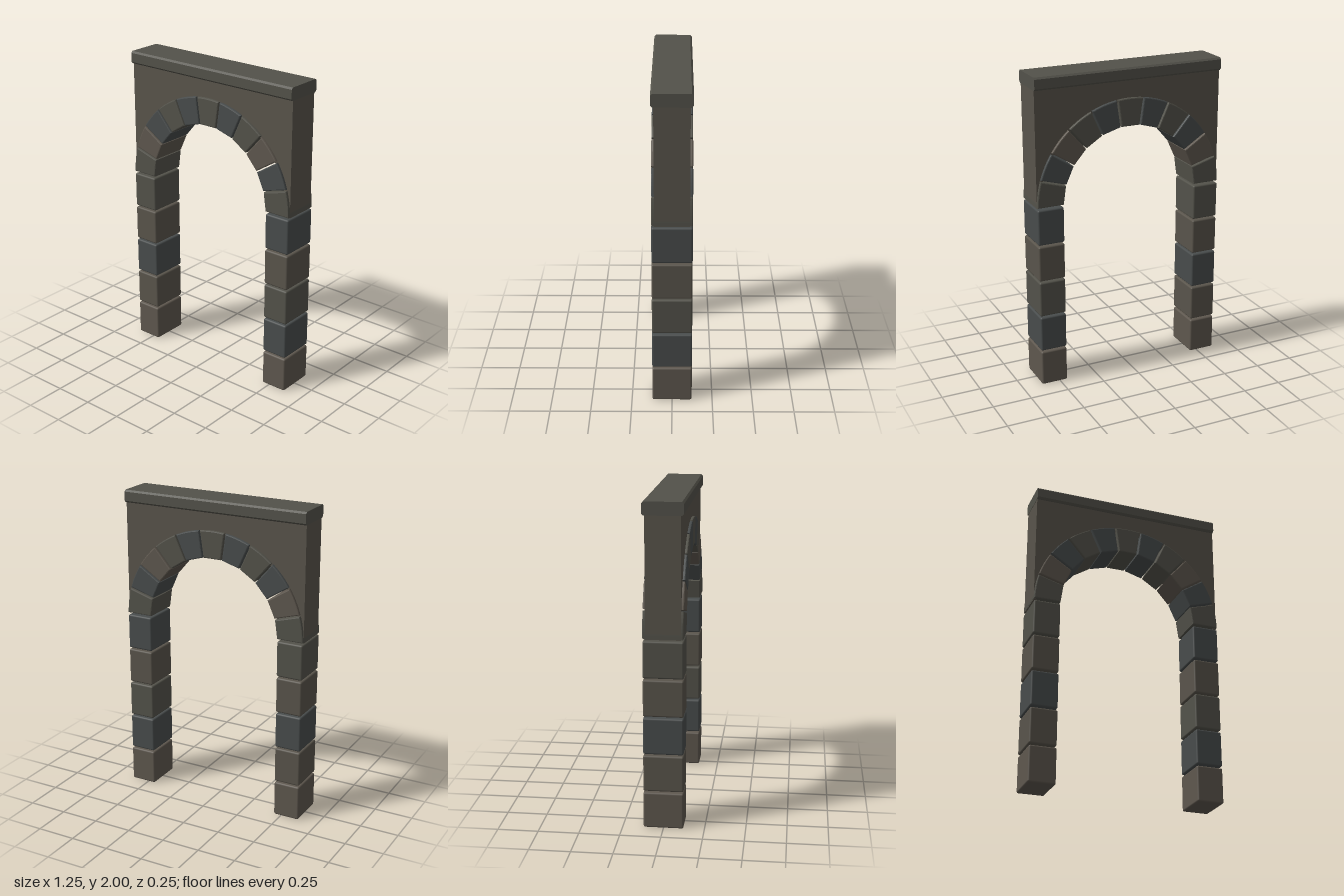
import * as THREE from 'three';
import { RoundedBoxGeometry } from 'three/addons/geometries/RoundedBoxGeometry.js';

const SPRING = 1.19;      // height where the arch starts
const INNER = 0.45, OUTER = 0.622;
const DEPTH = 0.245;

const stone = {
  brown: new THREE.MeshStandardMaterial({ color: 0x5e574e }),
  grey: new THREE.MeshStandardMaterial({ color: 0x53524a }),
  blue: new THREE.MeshStandardMaterial({ color: 0x484c4c }),
  mid: new THREE.MeshStandardMaterial({ color: 0x59544b }),
};

// Extrudes a shape along z, centred on z = 0, with a bevel kept inside the outline
function slab(shape, depth, bevel, curveSegments = 4) {
  const geo = new THREE.ExtrudeGeometry(shape, {
    depth: depth - 2 * bevel, curveSegments, bevelEnabled: bevel > 0,
    bevelSize: bevel, bevelThickness: bevel, bevelOffset: -bevel, bevelSegments: 2,
  });
  return geo.translate(0, 0, -depth / 2 + bevel);
}

function add(parent, name, geometry, material) {
  const mesh = new THREE.Mesh(geometry, material);
  mesh.name = name;
  parent.add(mesh);
  return mesh;
}

// Stacked pier blocks, listed from the ground up
function pier(name, side, colours) {
  const group = new THREE.Group();
  group.name = name;
  const pitch = SPRING / colours.length;
  const geo = new RoundedBoxGeometry(OUTER - INNER, pitch - 0.01, DEPTH, 2, 0.011);
  colours.forEach((c, i) => {
    const y = i * pitch + (pitch - 0.01) / 2;
    add(group, 'pierBlock' + (i + 1), geo, stone[c]).position.set(side * (INNER + OUTER) / 2, y, 0);
  });
  return group;
}

// Wedge stones around the half circle, listed from -x to +x
function archRing() {
  const group = new THREE.Group();
  group.name = 'archRing';
  const colours = ['grey', 'brown', 'blue', 'grey', 'blue', 'grey', 'blue', 'grey', 'brown', 'blue', 'grey'];
  const half = Math.PI / colours.length / 2;
  const gap = 0.004;
  // one wedge pointing up: straight inside edge, curved outside, parallel-sided joints
  const aIn = half - gap / INNER, aOut = half - gap / OUTER;
  const shape = new THREE.Shape();
  shape.moveTo(-INNER * Math.sin(aIn), INNER * Math.cos(aIn));
  shape.lineTo(INNER * Math.sin(aIn), INNER * Math.cos(aIn));
  shape.absarc(0, 0, OUTER, Math.PI / 2 - aOut, Math.PI / 2 + aOut, false);
  shape.closePath();
  const geo = slab(shape, DEPTH, 0.007);
  colours.forEach((c, i) => {
    const wedge = add(group, 'archStone' + (i + 1), geo, stone[c]);
    wedge.position.y = SPRING;
    wedge.rotation.z = Math.PI / 2 - (2 * i + 1) * half;
  });
  return group;
}

export function createModel() {
  const model = new THREE.Group();
  model.name = 'stoneArch';
  model.add(pier('leftPier', 1, ['brown', 'blue', 'grey', 'mid', 'blue']));
  model.add(pier('rightPier', -1, ['brown', 'mid', 'blue', 'mid', 'grey']));
  model.add(archRing());

  // Wall above the arch, with a round opening
  const wall = new THREE.Shape();
  wall.moveTo(-0.621, SPRING);
  wall.lineTo(-0.6, SPRING);
  wall.absarc(0, SPRING, 0.6, Math.PI, 0, true);
  wall.lineTo(0.621, SPRING);
  wall.lineTo(0.621, 1.93);
  wall.lineTo(-0.621, 1.93);
  wall.closePath();
  add(model, 'spandrelWall', slab(wall, 0.21, 0, 40), stone.mid);

  // Coping: a bar with chamfered long edges, running along x
  const w = DEPTH / 2, h = 0.04, b = 0.011;
  const section = new THREE.Shape([
    [-w + b, -h], [w - b, -h], [w, -h + b], [w, h - b],
    [w - b, h], [-w + b, h], [-w, h - b], [-w, -h + b],
  ].map(([x, y]) => new THREE.Vector2(x, y)));
  const coping = add(model, 'coping', slab(section, 1.246, 0), stone.grey);
  coping.rotation.y = Math.PI / 2;
  coping.position.y = 2 - h;
  return model;
}
